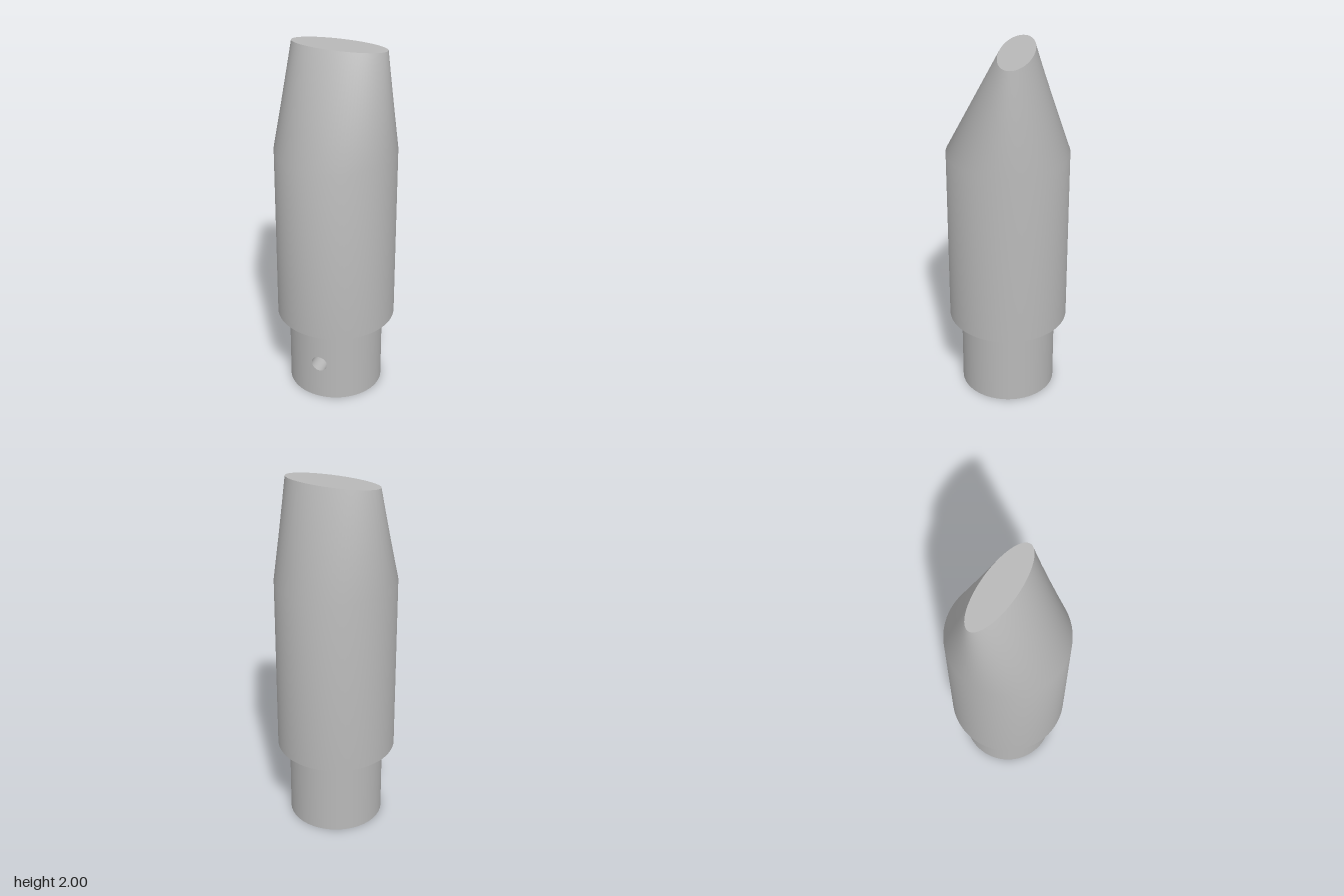
import * as THREE from 'three';

const SEG = 96;
const BODY_R = 0.33, NECK_R = 0.263, BORE_R = 0.156;
const SHOULDER = 0.445, TAPER = 1.45, TOP = 2;
const HOLE_R = 0.045, HOLE_Y = SHOULDER / 2, PATCH_W = 0.12;

// Surface of rings joined by quads; closed rings wrap around.
function loft(rings, flip = false) {
  const n = rings[0].length, pos = rings.flat(2), idx = [];
  for (let i = 0; i < rings.length - 1; i++) {
    for (let j = 0; j < n; j++) {
      const k = (j + 1) % n;
      const a = i * n + j, b = i * n + k, c = a + n, d = b + n;
      if (flip) idx.push(a, c, b, b, c, d);
      else idx.push(a, b, c, b, d, c);
    }
  }
  const g = new THREE.BufferGeometry();
  g.setAttribute('position', new THREE.Float32BufferAttribute(pos, 3));
  g.setIndex(idx);
  g.computeVertexNormals();
  return g;
}

const ring = (fn, n = SEG) => Array.from({ length: n }, (_, i) => fn((i / n) * Math.PI * 2));

const ellipse = (rx, rz, y, z = 0) => ring(t => [rx * Math.sin(t), y, z + rz * Math.cos(t)]);

// Outline of the side hole where it meets a cylinder of radius r
const holeEdge = r => ring(t => {
  const x = HOLE_R * Math.cos(t);
  return [x, HOLE_Y + HOLE_R * Math.sin(t), Math.sqrt(r * r - x * x)];
}, 64);

// Front strip of a cylinder wall, pierced by the round side hole
function piercedStrip(r, inward) {
  const rings = [];
  for (let s = 0; s <= 8; s++) {
    const f = s / 8;
    rings.push(ring(t => {
      const c = Math.cos(t), q = Math.sin(t), m = Math.max(Math.abs(c), Math.abs(q));
      const x = THREE.MathUtils.lerp(HOLE_R * c, PATCH_W * c / m, f);
      const y = HOLE_Y + THREE.MathUtils.lerp(HOLE_R * q, HOLE_Y * q / m, f);
      return [x, y, Math.sqrt(r * r - x * x)];
    }, 64));
  }
  const g = loft(rings, !inward);
  const p = g.attributes.position, sign = inward ? -1 : 1;
  for (let i = 0; i < p.count; i++) {
    g.attributes.normal.setXYZ(i, sign * p.getX(i) / r, 0, sign * p.getZ(i) / r);
  }
  return g;
}

// Remaining part of the same cylinder wall
function wallRest(r) {
  const a = Math.asin(PATCH_W / r);
  return new THREE.CylinderGeometry(r, r, SHOULDER, SEG, 1, true, a, Math.PI * 2 - 2 * a)
    .translate(0, SHOULDER / 2, 0);
}

export function createModel() {
  const model = new THREE.Group();
  const grey = new THREE.MeshStandardMaterial({ color: 0xb8b8b8 });
  grey.name = 'plain grey';
  const inside = grey.clone();
  inside.side = THREE.BackSide;
  const add = (name, geometry, material = grey) => {
    const mesh = new THREE.Mesh(geometry, material);
    mesh.name = name;
    model.add(mesh);
    return mesh;
  };

  // Round body blending into a flattened, slightly offset tip
  add('body', loft([
    ellipse(BODY_R, BODY_R, SHOULDER),
    ellipse(BODY_R, BODY_R, TAPER),
    ellipse(0.264, 0.092, TOP, -0.045),
  ]));
  add('tipFace', new THREE.CircleGeometry(1, SEG).rotateX(-Math.PI / 2)
    .scale(0.264, 1, 0.092).translate(0, TOP, -0.045));
  add('shoulder', new THREE.RingGeometry(NECK_R, BODY_R, SEG).rotateX(Math.PI / 2)
    .translate(0, SHOULDER, 0));

  // Neck
  add('neckWall', wallRest(NECK_R));
  add('neckFront', piercedStrip(NECK_R, false));
  add('neckRim', new THREE.RingGeometry(BORE_R, NECK_R, SEG).rotateX(Math.PI / 2));

  // Central bore, open at the bottom
  add('boreWall', wallRest(BORE_R), inside);
  add('boreFront', piercedStrip(BORE_R, true));
  add('boreEnd', new THREE.CircleGeometry(BORE_R, SEG).rotateX(Math.PI / 2)
    .translate(0, SHOULDER, 0));

  // Side hole leading from the front of the neck into the bore
  add('sideHole', loft([holeEdge(NECK_R), holeEdge(BORE_R)]));

  return model;
}
